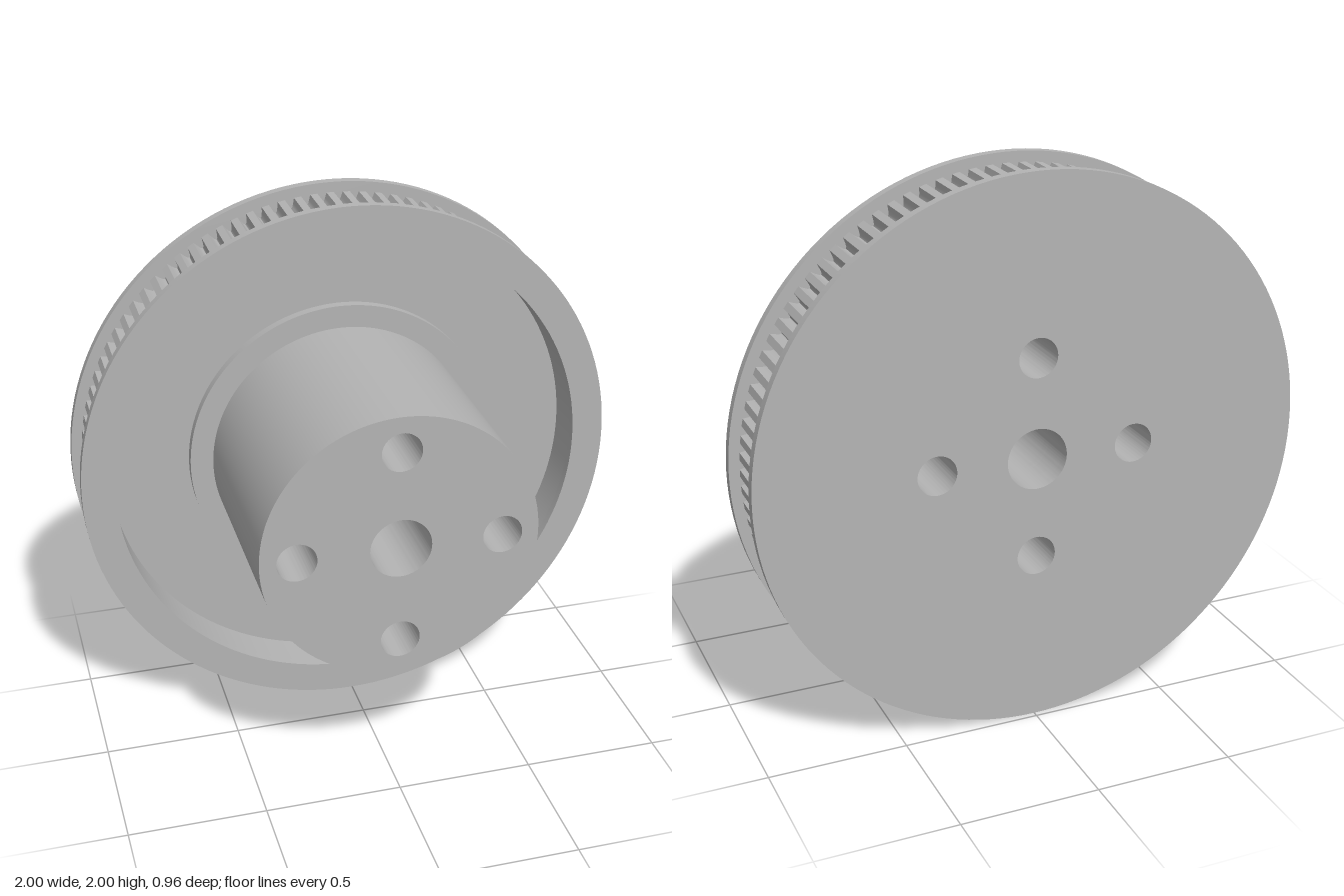
import * as THREE from 'three';
import { toCreasedNormals } from 'three/addons/utils/BufferGeometryUtils.js';

const TEETH = 100;
const TIP = 0.962, ROOT = 0.925;

const circle = (Kind, r, x = 0, y = 0) => new Kind().absarc(x, y, r, 0, Math.PI * 2, Kind === THREE.Path);

// Central bore and four bolt holes, passing through every solid disc
function drill(shape) {
  shape.holes.push(circle(THREE.Path, 0.11));
  for (let i = 0; i < 4; i++) {
    const a = i * Math.PI / 2;
    shape.holes.push(circle(THREE.Path, 0.071, 0.365 * Math.cos(a), 0.365 * Math.sin(a)));
  }
  return shape;
}

function ring(shape, inner) {
  shape.holes.push(circle(THREE.Path, inner));
  return shape;
}

// Belt teeth: flat lands separated by rounded grooves
function toothedOutline() {
  const pts = [];
  const pitch = Math.PI * 2 / TEETH;
  for (let i = 0; i < TEETH; i++) {
    for (let k = 0; k <= 6; k++) {
      const t = k / 6;
      const r = TIP - (TIP - ROOT) * Math.sin(Math.PI * t);
      const a = (i + 0.22 + 0.56 * t) * pitch;
      pts.push(new THREE.Vector2(r * Math.cos(a), r * Math.sin(a)));
    }
  }
  return new THREE.Shape(pts);
}

export function createModel() {
  const group = new THREE.Group();
  group.name = 'timingPulley';
  const metal = new THREE.MeshStandardMaterial({ color: 0xb4b4b4 });
  metal.name = 'grey metal';

  const add = (name, shape, back, front) => {
    const geo = new THREE.ExtrudeGeometry(shape, { depth: front - back, bevelEnabled: false, curveSegments: 72 });
    const mesh = new THREE.Mesh(toCreasedNormals(geo, 0.6), metal);
    mesh.name = name;
    mesh.position.set(0, 1, back);
    group.add(mesh);
  };

  // Wheel
  add('rearFlange', drill(circle(THREE.Shape, 1)), -0.48, -0.445);
  add('toothedRim', ring(toothedOutline(), 0.88), -0.445, -0.2);
  add('frontFlange', ring(circle(THREE.Shape, 1), 0.88), -0.2, -0.167);
  add('web', drill(circle(THREE.Shape, 0.89)), -0.445, -0.335);

  // Hub and its raised collar
  add('collar', drill(circle(THREE.Shape, 0.58)), -0.335, -0.3);
  add('hub', drill(circle(THREE.Shape, 0.495)), -0.3, 0.48);

  return group;
}
